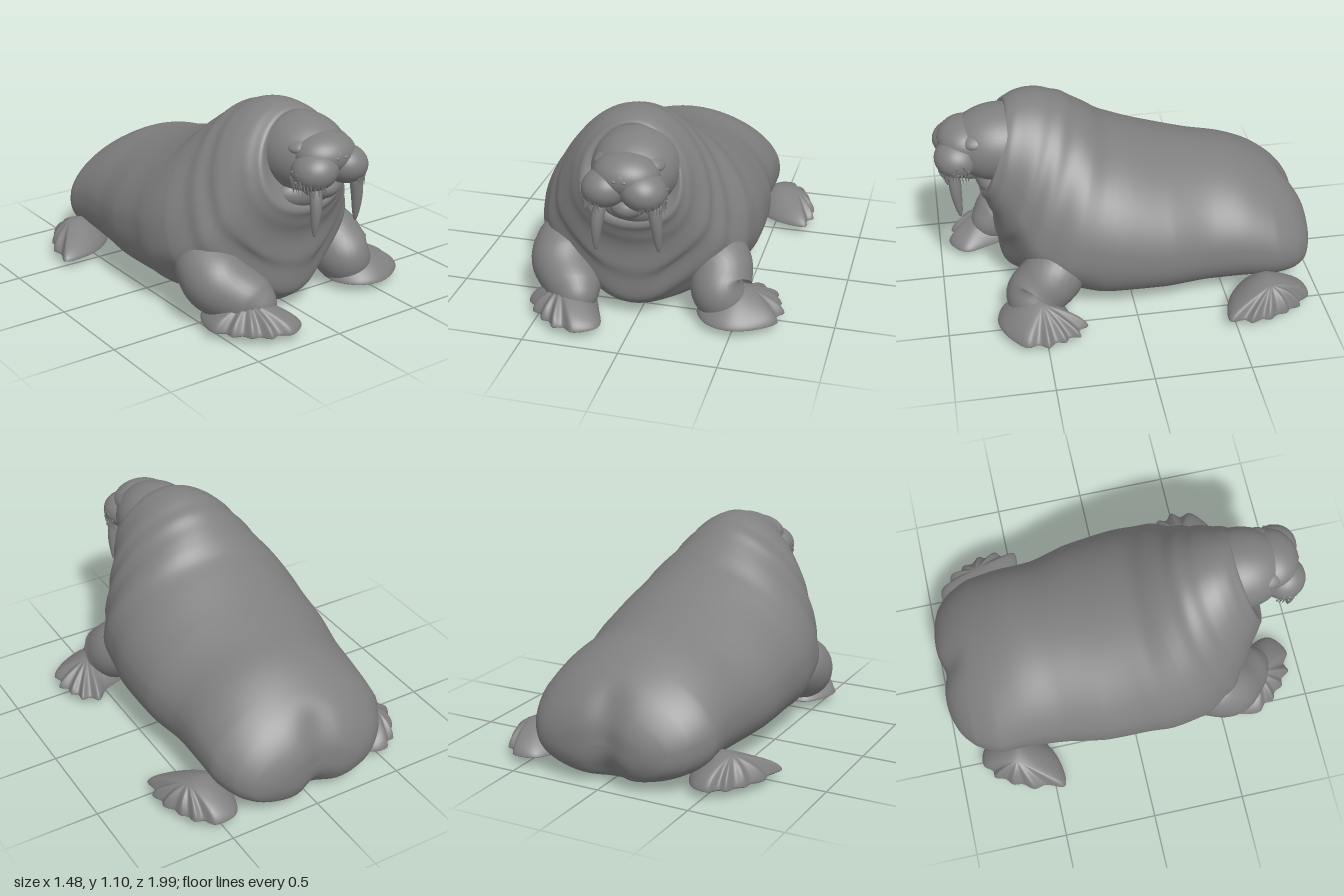
import * as THREE from 'three';
import { mergeVertices } from 'three/addons/utils/BufferGeometryUtils.js';
import { ParametricGeometry } from 'three/addons/geometries/ParametricGeometry.js';

const hide = new THREE.MeshStandardMaterial({ color: 0x808080 });
hide.name = 'grey';
const V = (x, y, z) => new THREE.Vector3(x, y, z);
const TAU = Math.PI * 2;
const smooth = THREE.MathUtils.smoothstep;

function add(parent, name, geometry) {
  const mesh = new THREE.Mesh(geometry, hide);
  mesh.name = name;
  parent.add(mesh);
  return mesh;
}

// Smooth surface from a rule (u, v) -> point, welded so seams do not show
function surface(rule, nu, nv) {
  const g = new ParametricGeometry((u, v, p) => p.copy(rule(u, v)), nu, nv);
  g.deleteAttribute('normal');
  g.deleteAttribute('uv');
  const welded = mergeVertices(g, 1e-5);
  welded.computeVertexNormals();
  return welded;
}

function blob(parent, name, [x, y, z], [rx, ry, rz], [ax, ay, az] = [0, 0, 0]) {
  const m = add(parent, name, new THREE.SphereGeometry(1, 40, 28));
  m.position.set(x, y, z);
  m.scale.set(rx, ry, rz);
  m.rotation.set(ax, ay, az);
}

// Tapered round limb along a curve, with rounded ends
function limb(points, radii, fold = 0) {
  const curve = new THREE.CatmullRomCurve3(points.map(p => V(...p)));
  const size = new THREE.CatmullRomCurve3(radii.map((r, i) => V(r, i, 0)));
  return surface((u, v) => {
    const t = curve.getTangent(v);
    const a = new THREE.Vector3().crossVectors(t, V(0, 0, 1)).normalize();
    const b = new THREE.Vector3().crossVectors(t, a);
    const end = Math.sqrt(Math.max(0, 1 - Math.pow(2 * v - 1, 6)));
    const r = size.getPoint(v).x * end * (1 + fold * Math.sin(v * 22));
    const p = curve.getPoint(v).addScaledVector(a, r * Math.cos(u * TAU)).addScaledVector(b, r * Math.sin(u * TAU));
    p.y = Math.max(p.y, 0.03);
    return p;
  }, 28, 36);
}

// Flat flipper: plain edge points, then digit tips with a notch between each two
function flipper(before, tips, after, root, height, slope) {
  const all = [...before, ...tips, ...after];
  const cx = all.reduce((s, p) => s + p[0], 0) / all.length;
  const cz = all.reduce((s, p) => s + p[1], 0) / all.length;
  const edge = before.map(p => V(p[0], 0, p[1]));
  tips.forEach((p, i) => {
    edge.push(V(p[0], 0.015, p[1]));
    const q = tips[i + 1];
    if (q) {
      const mx = (p[0] + q[0]) / 2, mz = (p[1] + q[1]) / 2;
      edge.push(V(mx + (cx - mx) * 0.12, -0.015, mz + (cz - mz) * 0.12));
    }
  });
  after.forEach(p => edge.push(V(p[0], 0, p[1])));
  const outline = new THREE.CatmullRomCurve3(edge, true);
  return surface((u, v) => {
    const e = outline.getPoint((1 - u) % 1);
    const r = Math.sin(Math.PI * v), c = Math.cos(Math.PI * v);
    const x = cx + (e.x - cx) * r, z = cz + (e.z - cz) * r;
    const near = Math.max(0, 1 - Math.hypot(x - root[0], z - root[1]) / 0.34);
    const rise = Math.pow(Math.max(c, 0), 1.25);
    const y = 0.05 + rise * (height + e.y * r * r * r * 1.8 + slope * near) + Math.min(c, 0) * 0.02;
    return V(x, y, z);
  }, 144, 28);
}

// Body rings: top z, top y, bottom z, bottom y, half width, centre x
const rings = [
  [-1.005, 0.225, -1.005, 0.225, 0, 0.0],
  [-0.995, 0.33, -0.99, 0.12, 0.24, 0.0],
  [-0.955, 0.42, -0.95, 0.05, 0.36, 0.0],
  [-0.88, 0.51, -0.88, 0.02, 0.44, -0.01],
  [-0.75, 0.6, -0.75, 0.01, 0.5, -0.02],
  [-0.6, 0.67, -0.6, 0.01, 0.505, -0.02],
  [-0.4, 0.715, -0.4, 0.0, 0.515, -0.03],
  [-0.2, 0.77, -0.15, 0.0, 0.56, -0.03],
  [-0.02, 0.84, 0.1, 0.0, 0.57, -0.03],
  [0.08, 0.885, 0.3, 0.01, 0.57, -0.04],
  [0.16, 0.95, 0.5, 0.02, 0.545, -0.04],
  [0.24, 1.01, 0.62, 0.06, 0.49, -0.045],
  [0.32, 1.06, 0.68, 0.17, 0.435, -0.045],
  [0.4, 1.09, 0.7, 0.3, 0.39, -0.04],
  [0.48, 1.105, 0.71, 0.42, 0.34, -0.035],
  [0.56, 1.095, 0.74, 0.52, 0.29, -0.02],
  [0.61, 1.07, 0.77, 0.59, 0.25, -0.01],
  [0.6, 1.02, 0.74, 0.65, 0.19, 0.0],
  [0.62, 0.87, 0.62, 0.87, 0, 0.0],
];

function bodyGeometry() {
  const top = new THREE.CatmullRomCurve3(rings.map(r => V(0, r[1], r[0])));
  const bottom = new THREE.CatmullRomCurve3(rings.map(r => V(0, r[3], r[2])));
  const width = new THREE.CatmullRomCurve3(rings.map(r => V(r[4], r[5], 0)));
  return surface((u, v) => {
    const a = top.getPoint(v), b = bottom.getPoint(v), w = width.getPoint(v);
    const c = Math.cos(u * TAU), s = Math.sin(u * TAU);
    const up = c < 0 ? -Math.pow(-c, 0.85) : c;
    // Skin folds grow stronger towards the neck and throat
    const k = v * (rings.length - 1);
    const amount = smooth(k, 7, 12) * (1 - smooth(k, 15, 16)) * (0.014 - 0.009 * c);
    const f = 1 + amount * Math.sin(k * 3.9 + 0.7 * Math.sin(u * TAU * 2)) * (0.7 + 0.5 * Math.sin(k * 1.7));
    const p = a.clone().add(b).multiplyScalar(0.5).addScaledVector(a.clone().sub(b), 0.5 * up * f);
    // The chest narrows towards the ground between the front legs
    const chest = 1 - 0.36 * smooth(k, 8.5, 11) * (1 - smooth(k, 12, 14)) * smooth(-c, 0.2, 0.9);
    p.x = w.y - w.x * s * (1 - 0.12 * c) * f * chest;
    p.y = Math.max(p.y, 0);
    // Cleft between the haunches, deeper underneath
    const depth = 0.035 + 0.04 * smooth(-p.y, -0.2, -0.03);
    p.z += depth * Math.exp(-Math.pow((p.x + 0.03) / 0.09, 2)) * smooth(-p.z, 0.8, 0.98);
    return p;
  }, 96, 180);
}

export function createModel() {
  const model = new THREE.Group();
  model.name = 'walrus';
  add(model, 'body', bodyGeometry());

  // Front legs
  add(model, 'leftArm', limb([[0.3, 0.37, 0.3], [0.39, 0.25, 0.43], [0.43, 0.14, 0.54], [0.55, 0.08, 0.54]],
    [0.15, 0.16, 0.15, 0.07], 0.015));
  add(model, 'rightArm', limb([[-0.41, 0.35, 0.36], [-0.42, 0.23, 0.54], [-0.31, 0.14, 0.7], [-0.26, 0.09, 0.8]],
    [0.17, 0.17, 0.13, 0.07], 0.015));
  add(model, 'leftFrontFlipper', flipper([[0.36, 0.42], [0.3, 0.58], [0.37, 0.7], [0.48, 0.74], [0.6, 0.71]],
    [[0.72, 0.61], [0.74, 0.5], [0.71, 0.41], [0.68, 0.33], [0.6, 0.28]], [[0.52, 0.35]], [0.44, 0.53], 0.06, 0.11));
  add(model, 'rightFrontFlipper', flipper([[-0.18, 0.72], [-0.3, 0.5], [-0.45, 0.47], [-0.54, 0.58]],
    [[-0.56, 0.71], [-0.51, 0.8], [-0.44, 0.87], [-0.36, 0.93], [-0.25, 0.95]], [[-0.14, 0.87]], [-0.31, 0.69], 0.065, 0.08));

  // Hind flippers
  add(model, 'leftHindFlipper', flipper([[0.36, -0.65], [0.5, -0.5]],
    [[0.69, -0.46], [0.72, -0.57], [0.71, -0.67], [0.67, -0.77], [0.63, -0.85], [0.55, -0.92]], [[0.42, -0.9]], [0.46, -0.7], 0.065, 0.09));
  add(model, 'rightHindFlipper', flipper([[-0.36, -0.65], [-0.44, -0.85]],
    [[-0.53, -0.87], [-0.61, -0.82], [-0.67, -0.73], [-0.72, -0.62], [-0.74, -0.45]], [[-0.54, -0.47]], [-0.48, -0.66], 0.065, 0.09));

  // Head
  const head = new THREE.Group();
  head.name = 'head';
  head.position.x = 0.01;
  model.add(head);
  blob(head, 'skull', [0, 0.865, 0.65], [0.22, 0.2, 0.265]);
  blob(head, 'snout', [0, 0.905, 0.83], [0.165, 0.108, 0.14]);
  blob(head, 'lowerLip', [0, 0.735, 0.8], [0.095, 0.07, 0.11]);
  blob(head, 'throat', [0, 0.675, 0.69], [0.18, 0.09, 0.1]);
  blob(head, 'nose', [0, 0.91, 0.925], [0.065, 0.055, 0.045]);
  for (const s of [-1, 1]) {
    const side = s > 0 ? 'left' : 'right';
    blob(head, side + 'MuzzlePad', [s * 0.092, 0.845, 0.875], [0.117, 0.098, 0.118], [0, s * 0.25, -s * 0.2]);
    blob(head, side + 'Brow', [s * 0.11, 0.957, 0.755], [0.065, 0.035, 0.09], [0.2, s * 0.4, -s * 0.4]);
    blob(head, side + 'Eye', [s * 0.155, 0.94, 0.79], [0.02, 0.016, 0.022]);
    blob(head, side + 'Nostril', [s * 0.024, 0.915, 0.963], [0.012, 0.008, 0.008]);
    const x = 0.02 + s * 0.125;
    add(head, side + 'Tusk', limb([[x, 0.8, 0.9], [x + s * 0.018, 0.67, s > 0 ? 0.895 : 0.93], [x + s * 0.025, 0.525, s > 0 ? 0.88 : 0.93]],
      [0.034, 0.029, 0.012]));
    // Whiskers hanging from the pad
    for (let i = 0; i < 26; i++) {
      const a = 0.1 + (i % 13) * 0.16, row = i < 13 ? 0 : 1;
      const len = 0.065 + 0.03 * Math.abs(Math.sin(i * 12.9));
      const w = add(head, side + 'Whisker', new THREE.ConeGeometry(0.006, len, 6));
      w.position.set(s * (0.09 + 0.11 * Math.sin(a)), 0.775 + row * 0.035, 0.87 + 0.1 * Math.cos(a));
      w.rotation.set(Math.PI + 0.2 * Math.sin(i * 7.1), 0, s * (0.1 + 0.2 * Math.sin(i * 3.7)));
    }
  }
  return model;
}
